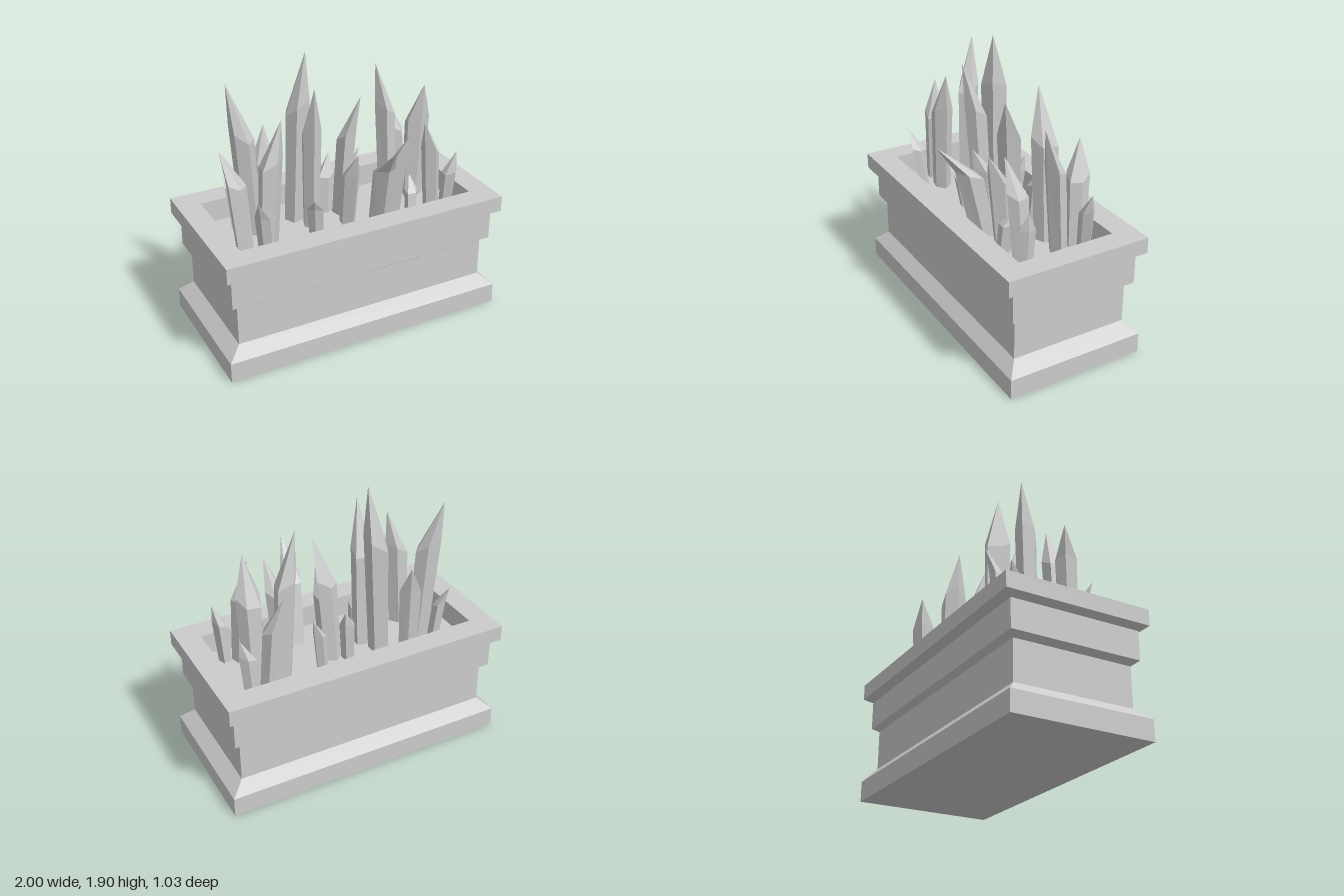
import * as THREE from 'three';

const SOIL_Y = 0.7, MID_Z = -0.012;
const grey = new THREE.MeshStandardMaterial({ color: 0xcccccc, flatShading: true });

// Skin a stack of equal-sized rings (bottom to top, counter-clockwise seen from below)
function loft(rings, capStart, capEnd) {
  const out = [], n = rings[0].length;
  const tri = (a, b, c) => out.push(...a, ...b, ...c);
  for (let i = 0; i < rings.length - 1; i++) {
    for (let j = 0; j < n; j++) {
      const k = (j + 1) % n, lo = rings[i], hi = rings[i + 1];
      tri(lo[j], hi[j], hi[k]);
      tri(lo[j], hi[k], lo[k]);
    }
  }
  const first = rings[0], last = rings[rings.length - 1];
  for (let j = 1; j < n - 1; j++) {
    if (capStart) tri(first[0], first[j], first[j + 1]);
    if (capEnd) tri(last[0], last[j + 1], last[j]);
  }
  const geo = new THREE.BufferGeometry();
  geo.setAttribute('position', new THREE.Float32BufferAttribute(out, 3));
  geo.computeVertexNormals();
  return geo;
}

function addMesh(group, name, geo) {
  const mesh = new THREE.Mesh(geo, grey);
  mesh.name = name;
  group.add(mesh);
}

const rect = ([hx, hz, y]) =>
  [[1, 1], [1, -1], [-1, -1], [-1, 1]].map(([sx, sz]) => [sx * hx, y, MID_Z + sz * hz]).reverse();

// Pointed shard: irregular five-sided shaft with a sloping shoulder and an off-centre tip
function shard([bx, bz, tx, ty, tz, r], index) {
  const sides = 5, h = ty - SOIL_Y, lean = Math.atan2(tz - bz, tx - bx);
  const ring = (t, y, radius, slope) => Array.from({ length: sides }, (_, j) => {
    const a = lean + (j / sides) * Math.PI * 2;
    const rr = radius * (1 + 0.16 * Math.sin(index * 2.3 + j * 2.1));
    return [bx + (tx - bx) * t + Math.cos(a) * rr,
      y + slope * Math.cos(a - lean), bz + (tz - bz) * t + Math.sin(a) * rr];
  });
  const tip = Array.from({ length: sides }, () => [tx, ty, tz]);
  return loft([ring(0, SOIL_Y - 0.02, r * 0.85, 0), ring(0.32, SOIL_Y + h * 0.68, r, h * 0.05), tip], true, false);
}

// base x, base z, tip x, tip y, tip z, radius
const SHARDS = [
  [-0.64, -0.21, -0.70, 1.13, -0.30, 0.05],
  [-0.58, -0.11, -0.68, 1.73, -0.21, 0.08],
  [-0.45, -0.20, -0.39, 1.36, -0.31, 0.07],
  [-0.26, -0.15, -0.18, 1.90, -0.09, 0.085],
  [-0.19, -0.01, -0.22, 1.73, 0.12, 0.075],
  [-0.21, 0.11, -0.27, 0.99, 0.20, 0.05],
  [-0.02, -0.14, 0.04, 1.10, -0.21, 0.055],
  [0.19, -0.17, 0.27, 1.10, -0.20, 0.05],
  [0.07, -0.09, 0.16, 1.57, 0.02, 0.075],
  [0.04, 0.07, 0.05, 1.25, 0.20, 0.07],
  [0.45, -0.11, 0.34, 1.73, -0.11, 0.085],
  [0.62, -0.23, 0.52, 1.40, -0.31, 0.07],
  [0.72, -0.23, 0.79, 1.13, -0.23, 0.055],
  [0.64, -0.09, 0.64, 1.57, 0.03, 0.08],
  [0.34, 0.14, 0.39, 1.36, 0.28, 0.07],
  [-0.56, 0.11, -0.45, 1.57, 0.12, 0.08],
  [-0.62, 0.23, -0.70, 1.13, 0.30, 0.05],
  [0.46, 0.21, 0.48, 0.99, 0.13, 0.05],
  [0.63, 0.19, 0.52, 1.40, 0.24, 0.07],
  [0.72, 0.22, 0.79, 1.13, 0.23, 0.055],
  [0.20, 0.20, 0.15, 1.37, 0.51, 0.085],
  [-0.72, 0.09, -0.83, 1.40, 0.01, 0.07],
];

export function createModel() {
  const model = new THREE.Group();
  model.name = 'planter';

  // Stepped box: foot, neck, band, rim, then down the inside to the soil
  const profile = [
    [1, 0.485, 0], [1, 0.485, 0.14], [0.91, 0.41, 0.22], [0.91, 0.41, 0.49],
    [0.955, 0.45, 0.52], [0.955, 0.45, 0.715], [1, 0.505, 0.745], [1, 0.505, 0.855],
    [0.843, 0.342, 0.855], [0.843, 0.342, SOIL_Y],
  ];
  addMesh(model, 'planterBox', loft(profile.map(rect), true, false));

  // Soil surface
  const soil = new THREE.PlaneGeometry(1.686, 0.684).rotateX(-Math.PI / 2).translate(0, SOIL_Y, MID_Z);
  addMesh(model, 'soil', soil);

  // Pointed leaves
  const leaves = new THREE.Group();
  leaves.name = 'leaves';
  SHARDS.forEach((s, i) => addMesh(leaves, `leaf${i + 1}`, shard(s, i)));
  model.add(leaves);
  return model;
}
